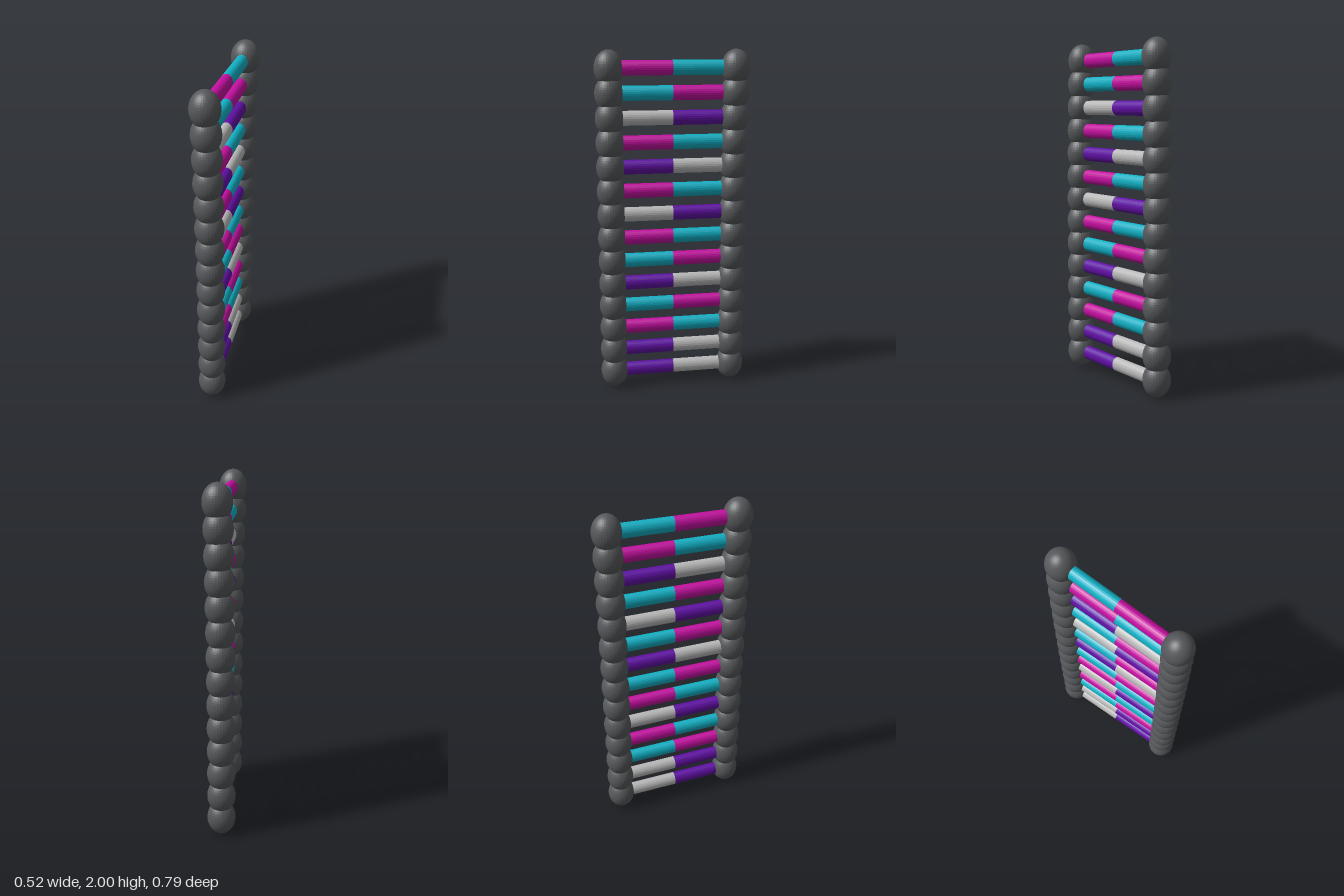
import * as THREE from 'three';

const RUNGS = 14;
const HALF = 0.356;                    // axis to ball centre
const BALL_R = 0.081, BALL_H = 0.1;    // balls are stretched upwards
const ROD_R = 0.035, ROD_H = 0.042;    // rods are stretched the same way

const mat = (color) => new THREE.MeshStandardMaterial({ color, flatShading: true });

export function createModel() {
  const model = new THREE.Group();
  model.name = 'twistedLadder';

  const ballMat = mat(0x56585b);
  const colors = {
    M: mat(0xc40fa0), // magenta
    T: mat(0x11b0c4), // teal
    P: mat(0x6010a4), // purple
    G: mat(0xb8b8b8), // grey
  };
  const partner = { M: 'T', T: 'M', P: 'G', G: 'P' };
  const sequence = 'PPMTPTMGMPMGTM'; // front-right half of each rung, bottom to top

  const ballGeo = new THREE.SphereGeometry(1, 32, 24).scale(BALL_R, BALL_H, BALL_R);
  // Half a rung, lying along +z from the axis to the ball centre
  const rodGeo = new THREE.CylinderGeometry(1, 1, HALF, 24)
    .rotateX(Math.PI / 2)
    .scale(ROD_R, ROD_H, 1)
    .translate(0, 0, HALF / 2);

  for (let i = 0; i < RUNGS; i++) {
    const t = i / (RUNGS - 1);
    const rung = new THREE.Group();
    rung.name = 'rung' + (i + 1);
    rung.position.y = 0.1 + 1.8 * t;
    // slight twist, growing towards the top
    rung.rotation.y = -THREE.MathUtils.degToRad(27.5 + 2.9 * t ** 3);

    for (const side of ['front', 'back']) {
      const half = new THREE.Group();
      half.name = side + 'Half';
      if (side === 'back') half.rotation.y = Math.PI;
      const key = side === 'front' ? sequence[i] : partner[sequence[i]];

      const rod = new THREE.Mesh(rodGeo, colors[key]);
      rod.name = side + 'Rod';
      const ball = new THREE.Mesh(ballGeo, ballMat);
      ball.name = side + 'Ball';
      ball.position.z = HALF;
      half.add(rod, ball);
      rung.add(half);
    }
    model.add(rung);
  }
  return model;
}
